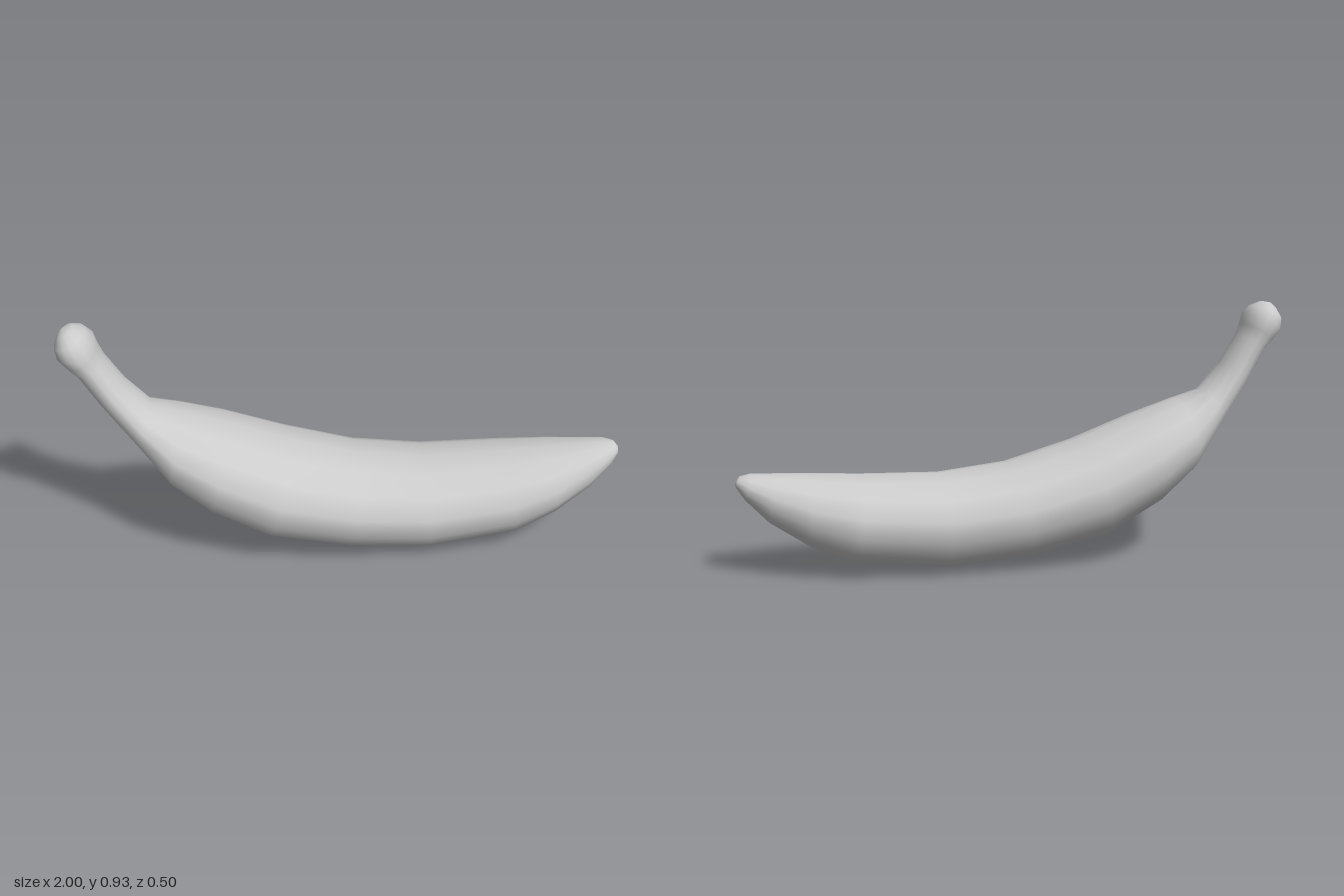
import * as THREE from 'three';

const SIDES = 14;

// Cross-sections from stem to tip: [upper x, upper y, lower x, lower y, half width]
const knobAndStem = [
  [-0.93, 0.932, -0.985, 0.9, 0.045],
  [-0.892, 0.917, -1.0, 0.865, 0.085],
  [-0.866, 0.89, -0.995, 0.825, 0.1],
  [-0.856, 0.85, -0.965, 0.79, 0.098],
  [-0.84, 0.81, -0.935, 0.755, 0.086],
  [-0.78, 0.71, -0.862, 0.625, 0.092],
];
const body = [
  [-0.7, 0.612, -0.765, 0.48, 0.115],
  [-0.6, 0.58, -0.65, 0.315, 0.185],
  [-0.44, 0.525, -0.52, 0.205, 0.23],
  [-0.22, 0.44, -0.32, 0.095, 0.255],
  [0.03, 0.368, -0.02, 0.028, 0.247],
  [0.28, 0.34, 0.28, 0.004, 0.237],
  [0.56, 0.348, 0.61, 0.045, 0.212],
  [0.74, 0.36, 0.755, 0.105, 0.165],
  [0.86, 0.366, 0.89, 0.195, 0.11],
  [0.945, 0.37, 0.97, 0.28, 0.065],
  [0.983, 0.362, 0.998, 0.325, 0.032],
];

// Joins elliptical rings into one smooth closed skin with a pole at each end
function loft(sections, startPole, endPole) {
  const positions = [];
  const index = [];
  for (const [ux, uy, lx, ly, w] of sections) {
    for (let j = 0; j < SIDES; j++) {
      const a = (j / SIDES) * Math.PI * 2;
      const k = (1 + Math.cos(a)) / 2;
      positions.push(lx + (ux - lx) * k, ly + (uy - ly) * k, w * Math.sin(a));
    }
  }
  const last = (sections.length - 1) * SIDES;
  const start = sections.length * SIDES;
  positions.push(...startPole, ...endPole);

  for (let j = 0; j < SIDES; j++) {
    const n = (j + 1) % SIDES;
    for (let r = 0; r < last; r += SIDES) {
      index.push(r + j, r + n, r + SIDES + j);
      index.push(r + n, r + SIDES + n, r + SIDES + j);
    }
    index.push(start, n, j);
    index.push(start + 1, last + j, last + n);
  }
  const geometry = new THREE.BufferGeometry();
  geometry.setAttribute('position', new THREE.Float32BufferAttribute(positions, 3));
  geometry.setIndex(index);
  geometry.computeVertexNormals();
  return geometry;
}

export function createModel() {
  const group = new THREE.Group();
  group.name = 'banana';
  // One continuous skin: rounded stem knob, stem, curved body and tip
  const skin = new THREE.Mesh(
    loft([...knobAndStem, ...body], [-0.967, 0.926, 0], [1, 0.343, 0]),
    new THREE.MeshStandardMaterial({ color: 0xcccccc })
  );
  skin.name = 'peel';
  group.add(skin);
  return group;
}
